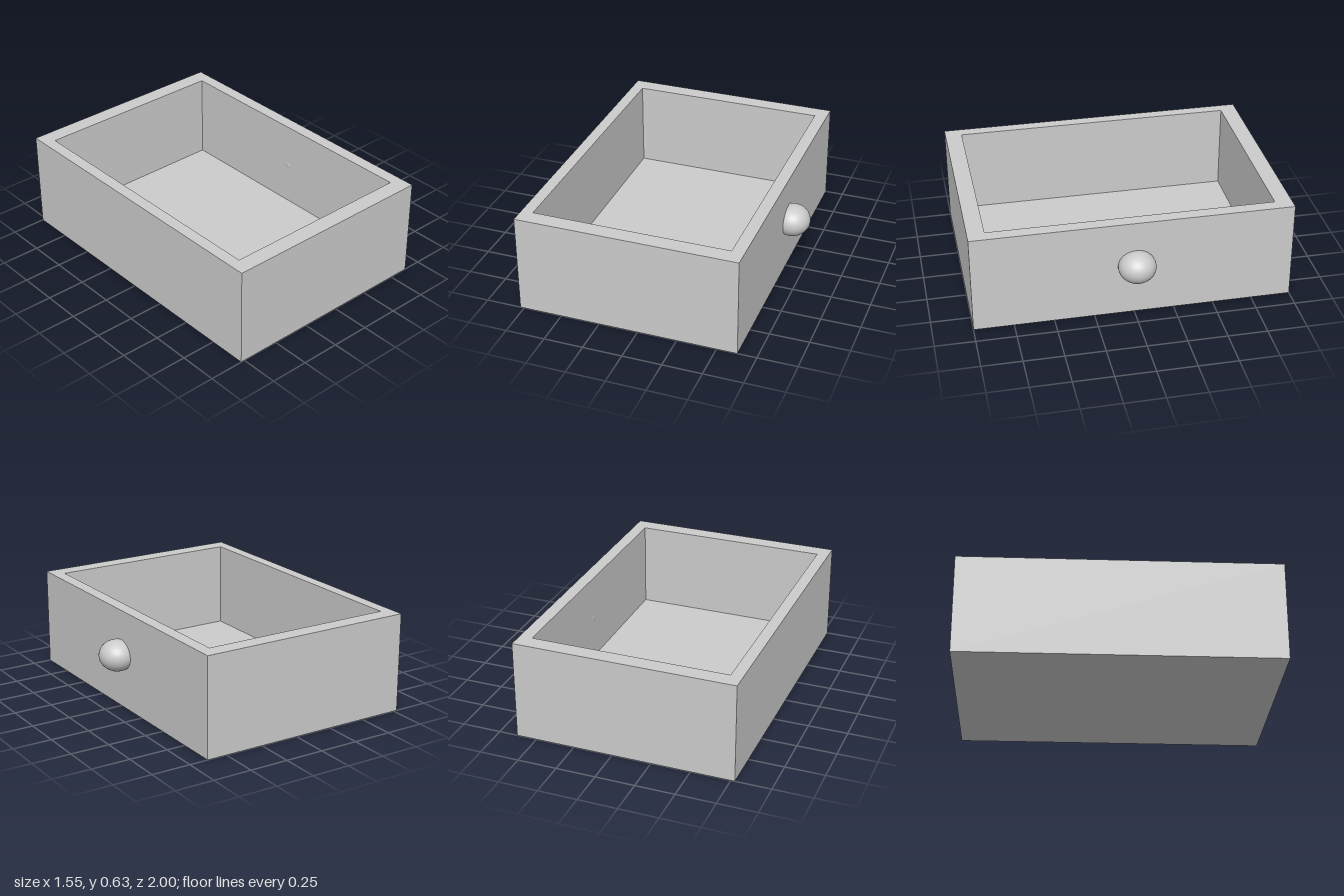
import * as THREE from 'three';

// Four corners of a level rectangle, counter-clockwise from above
function ring(x0, x1, z0, z1, y) {
  return [[x0, y, z1], [x1, y, z1], [x1, y, z0], [x0, y, z0]];
}

// Open tray: rings run up the outside, over the rim and down the inside
function trayGeometry() {
  const outer = [-0.775, 0.63, -1, 1];
  const inner = [-0.7, 0.55, -0.893, 0.893];
  const height = 0.635, floor = 0.075;
  const rings = [
    ring(...outer, 0),
    ring(...outer, height),
    ring(...inner, height),
    ring(...inner, floor),
  ];
  const positions = [];
  const quad = (a, b, c, d) => positions.push(...a, ...b, ...c, ...a, ...c, ...d);

  for (let r = 0; r < rings.length - 1; r++) {
    const a = rings[r], b = rings[r + 1];
    for (let i = 0; i < 4; i++) {
      const j = (i + 1) % 4;
      quad(a[i], a[j], b[j], b[i]);
    }
  }
  quad(...rings[3]); // inside floor
  quad(...[...rings[0]].reverse()); // underside

  const geometry = new THREE.BufferGeometry();
  geometry.setAttribute('position', new THREE.Float32BufferAttribute(positions, 3));
  geometry.computeVertexNormals();
  return geometry;
}

export function createModel() {
  const group = new THREE.Group();
  group.name = 'drawer';
  const material = new THREE.MeshStandardMaterial({ color: 0xcccccc });

  const tray = new THREE.Mesh(trayGeometry(), material);
  tray.name = 'tray';
  group.add(tray);

  // Slightly flattened ball set through the +x wall
  const knob = new THREE.Mesh(new THREE.SphereGeometry(1, 32, 20), material);
  knob.name = 'knob';
  knob.scale.set(0.114, 0.1, 0.117);
  knob.position.set(0.661, 0.347, -0.01);
  group.add(knob);

  return group;
}
